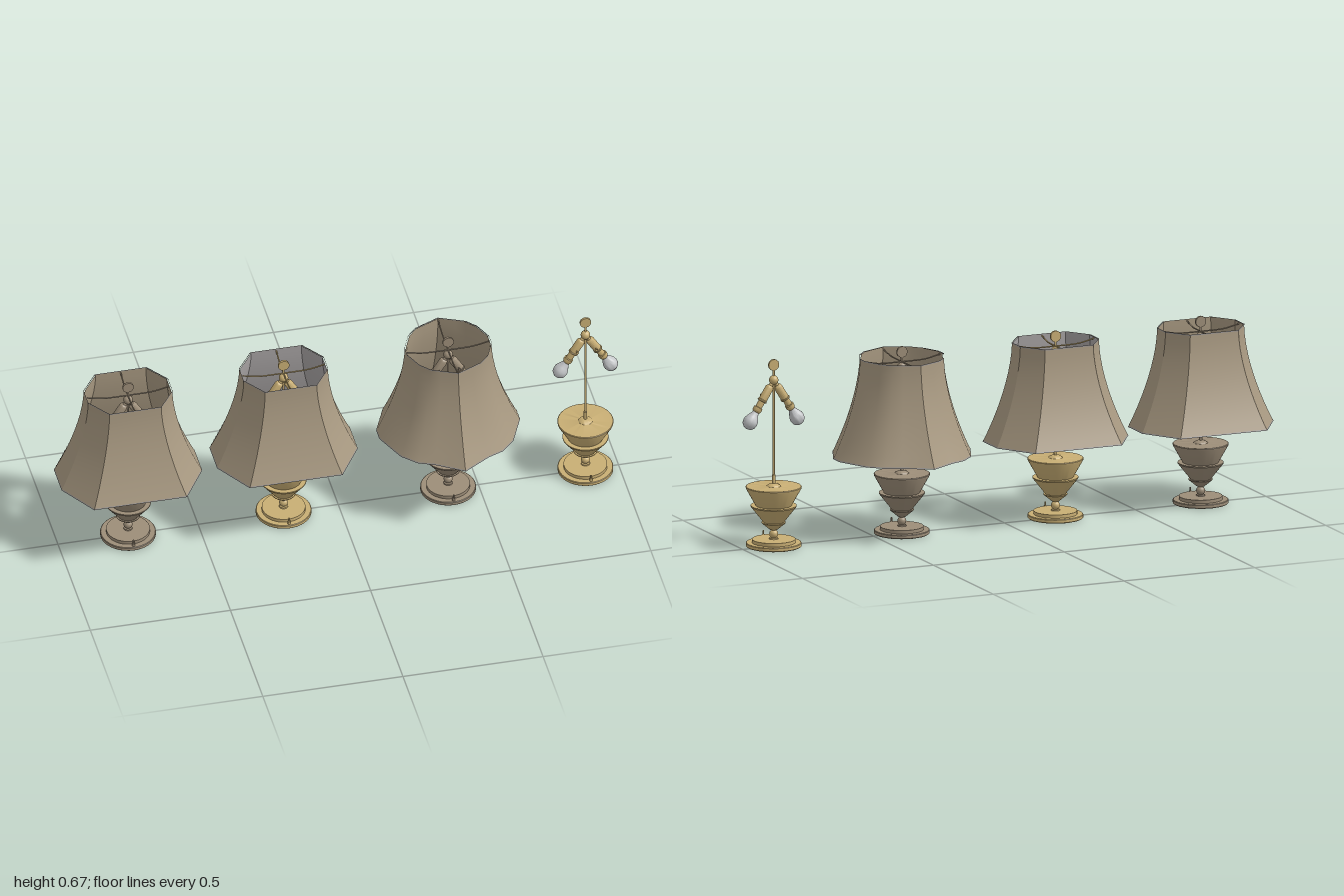
import * as THREE from 'three';
import { toCreasedNormals } from 'three/addons/utils/BufferGeometryUtils.js';

const mat = (name, color, side = THREE.FrontSide) =>
  Object.assign(new THREE.MeshStandardMaterial({ color, side }), { name });

function add(parent, name, geometry, material, x = 0, y = 0, z = 0) {
  const m = new THREE.Mesh(geometry, material);
  m.name = name;
  m.position.set(x, y, z);
  parent.add(m);
  return m;
}

// turned part: profile of [radius, height] from bottom to top
const turned = (profile, sides = 32) =>
  toCreasedNormals(new THREE.LatheGeometry(profile.map(p => new THREE.Vector2(...p)), sides), 0.6);

// mirror one quarter [x, z] (running from the x axis to the z axis) into a closed outline
function mirrorQuarter(q) {
  const all = [];
  for (const [sx, sz] of [[1, 1], [-1, 1], [-1, -1], [1, -1]]) {
    for (const [x, z] of q) {
      const p = [x * sx, z * sz];
      if (!all.some(o => Math.hypot(o[0] - p[0], o[1] - p[1]) < 1e-4)) all.push(p);
    }
  }
  return all.sort((a, b) => Math.atan2(a[1], a[0]) - Math.atan2(b[1], b[0]));
}

const SHADE_LOW = 0.283, SHADE_HIGH = 0.632;

// flared wall between two outlines; t runs from 0 (bottom) to 1 (top)
function shadeWall(bottom, top, t0, t1, rows, offset, inward) {
  const pos = [], idx = [], n = bottom.length;
  for (let r = 0; r <= rows; r++) {
    const t = t0 + (t1 - t0) * r / rows;
    const f = Math.pow(1 - t, 1.7);
    for (let i = 0; i < n; i++) {
      const x = top[i][0] + (bottom[i][0] - top[i][0]) * f;
      const z = top[i][1] + (bottom[i][1] - top[i][1]) * f;
      const k = 1 + offset / Math.hypot(x, z);
      pos.push(x * k, SHADE_LOW + (SHADE_HIGH - SHADE_LOW) * t, z * k);
    }
  }
  for (let r = 0; r < rows; r++) {
    for (let i = 0; i < n; i++) {
      const a = r * n + i, b = r * n + (i + 1) % n, c = a + n, d = b + n;
      if (inward) idx.push(a, b, c, b, d, c);
      else idx.push(a, c, b, b, c, d);
    }
  }
  const g = new THREE.BufferGeometry();
  g.setAttribute('position', new THREE.Float32BufferAttribute(pos, 3));
  g.setIndex(idx);
  return toCreasedNormals(g, 0.45);
}

export function createModel() {
  const taupe = mat('taupe metal', 0x9c8d78);
  const gold = mat('gold metal', 0xc8ae74);
  const fabric = mat('shade fabric', 0xa99a82);
  const liner = mat('grey liner', 0xa8a4a4);
  const trim = mat('grey trim', 0x9a9694, THREE.DoubleSide);
  const glass = mat('bulb glass', 0xc6c8ca);
  const felt = mat('base felt', 0x807058);

  const baseGeo = turned([[0, 0.001], [0.095, 0.001], [0.097, 0.003], [0.097, 0.013], [0.095, 0.015],
    [0.076, 0.015], [0.076, 0.027], [0.016, 0.027], [0.015, 0.031], [0.006, 0.031]], 40);
  const bodyGeo = turned([[0.006, 0.058], [0.013, 0.06], [0.042, 0.084], [0.042, 0.087], [0.036, 0.087],
    [0.08, 0.143], [0.08, 0.147], [0.063, 0.147], [0.097, 0.208], [0.098, 0.213], [0.096, 0.215],
    [0.025, 0.215], [0.022, 0.219], [0.012, 0.224], [0.006, 0.225], [0.006, 0.255], [0.004, 0.257],
    [0.004, 0.58]], 40);
  const socketGeo = turned([[0, 0], [0.006, 0.005], [0.008, 0.022], [0.013, 0.026], [0.015, 0.032],
    [0.015, 0.078], [0.017, 0.08], [0.017, 0.084], [0.012, 0.086], [0.012, 0.108], [0.016, 0.11],
    [0.016, 0.122], [0.012, 0.128], [0, 0.128]], 20);
  const bulbGeo = turned([[0.011, 0.124], [0.013, 0.134], [0.02, 0.148], [0.025, 0.16], [0.026, 0.169],
    [0.023, 0.182], [0.014, 0.191], [0, 0.195]], 24);
  const ballGeo = new THREE.SphereGeometry(1, 24, 16);
  const rod = (r, h) => new THREE.CylinderGeometry(r, r, h, 14);

  function stand(lamp, metal) {
    add(lamp, 'base', baseGeo, metal);
    add(lamp, 'baseFelt', rod(0.094, 0.002).clone(), felt, 0, 0.001, 0);
    add(lamp, 'neckBall', ballGeo, metal, 0, 0.045, 0).scale.setScalar(0.0155);
    add(lamp, 'bodyAndPole', bodyGeo, metal);

    // little switch on the base
    add(lamp, 'switchStem', rod(0.005, 0.012), metal, 0, 0.02, 0.086);
    add(lamp, 'switchTip', rod(0.003, 0.014), metal, 0, 0.032, 0.086);

    // hub and disc finial
    add(lamp, 'hub', ballGeo, metal, 0, 0.593, 0).scale.setScalar(0.0165);
    add(lamp, 'finialRod', rod(0.004, 0.024), metal, 0, 0.618, 0);
    add(lamp, 'finial', rod(0.02, 0.008), metal, 0, 0.647, 0).rotation.x = Math.PI / 2;

    // two sloping sockets with bulbs
    for (const side of [1, -1]) {
      const arm = new THREE.Group();
      arm.name = side > 0 ? 'leftArm' : 'rightArm';
      arm.position.y = 0.593;
      arm.rotation.z = -side * Math.atan2(0.09, -0.143);
      add(arm, 'socket', socketGeo, metal);
      add(arm, 'bulb', bulbGeo, glass);
      add(arm, 'keyStem', rod(0.002, 0.014), metal, 0, 0.065, 0.019).rotation.x = Math.PI / 2;
      add(arm, 'key', rod(0.005, 0.002), metal, 0, 0.065, 0.026).rotation.x = Math.PI / 2;
      lamp.add(arm);
    }
  }

  function shade(lamp, bottomQuarter, topQuarter, metal, inside) {
    const b = mirrorQuarter(bottomQuarter), t = mirrorQuarter(topQuarter);
    add(lamp, 'shade', shadeWall(b, t, 0, 1, 10, 0, false), fabric);
    add(lamp, 'shadeLining', shadeWall(b, t, 0, 1, 10, -0.004, true), inside);
    add(lamp, 'bottomTrim', shadeWall(b, t, 0, 0.012, 1, 0.001, false), trim);
    add(lamp, 'topTrim', shadeWall(b, t, 0.988, 1, 1, 0.001, false), trim);

    // wire cross carrying the shade
    const reachX = Math.max(...t.map(p => p[0])), reachZ = Math.max(...t.map(p => p[1]));
    for (const [x, z] of [[reachX, 0], [-reachX, 0], [0, reachZ], [0, -reachZ]]) {
      const wire = new THREE.CatmullRomCurve3([
        new THREE.Vector3(0, 0.612, 0),
        new THREE.Vector3(x * 0.6, 0.614, z * 0.6),
        new THREE.Vector3(x * 0.98, 0.626, z * 0.98)]);
      add(lamp, 'shadeWire', new THREE.TubeGeometry(wire, 8, 0.0025, 6), metal);
    }
  }

  const cutBottom = [[0.25, 0.06], [0.165, 0.195]], cutTop = [[0.15, 0.035], [0.092, 0.115]];
  const starBottom = [[0.25, 0.025], [0.2, 0.14], [0.15, 0.19], [0.095, 0.212], [0, 0.272]];
  const starTop = [[0.15, 0.02], [0.122, 0.085], [0.09, 0.12], [0.057, 0.135], [0, 0.16]];

  const lamps = [
    { x: -0.75, metal: taupe, inside: fabric, bottom: cutBottom, top: cutTop },
    { x: -0.195, metal: gold, inside: liner, bottom: cutBottom, top: cutTop },
    { x: 0.392, metal: taupe, inside: fabric, bottom: starBottom, top: starTop },
    { x: 0.882, metal: gold },
  ];

  const model = new THREE.Group();
  model.name = 'tableLamps';
  lamps.forEach((l, i) => {
    const lamp = new THREE.Group();
    lamp.name = 'lamp' + (i + 1);
    lamp.position.x = l.x;
    stand(lamp, l.metal);
    if (l.bottom) shade(lamp, l.bottom, l.top, l.metal, l.inside);
    model.add(lamp);
  });
  return model;
}
